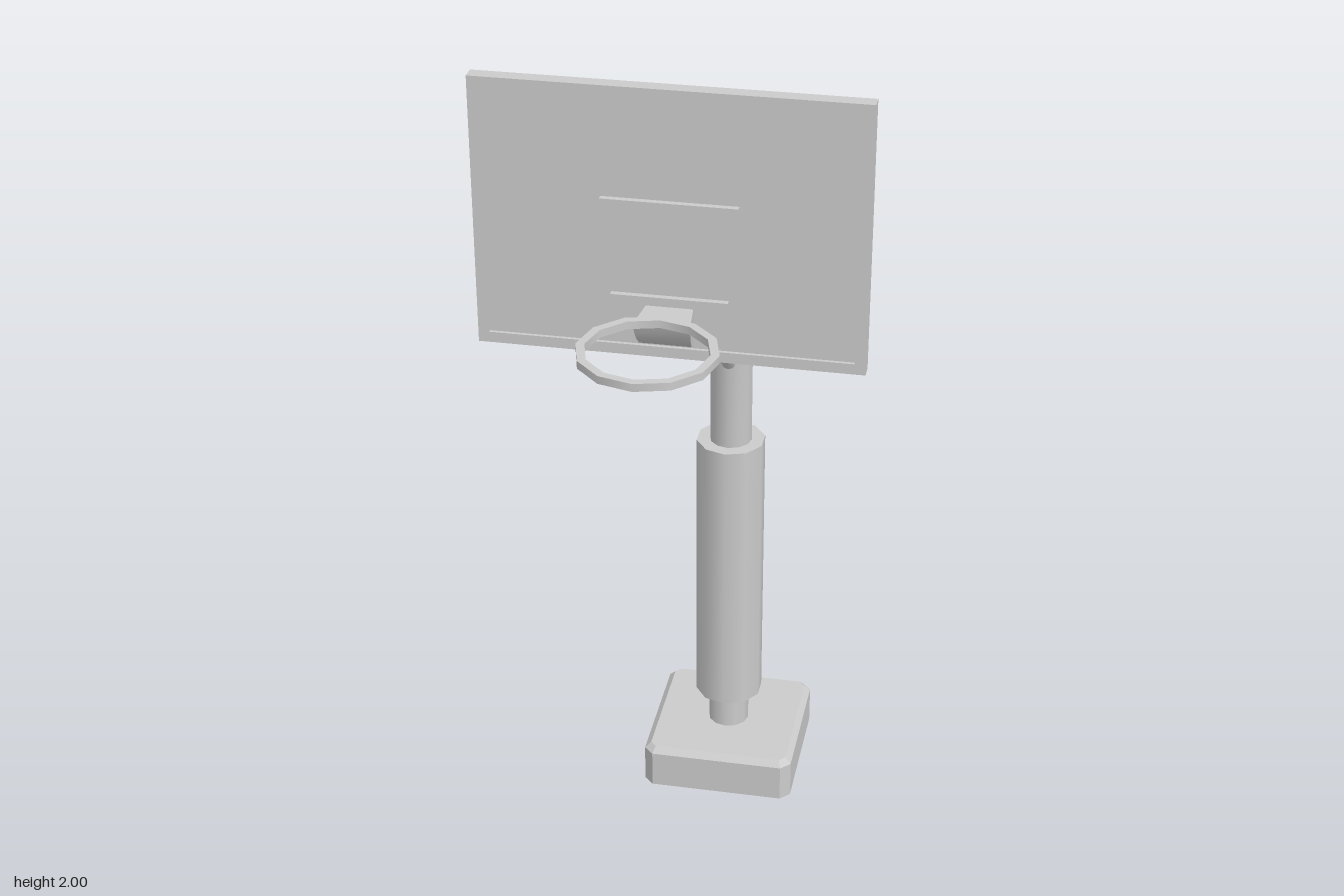
import * as THREE from 'three';
import { toCreasedNormals } from 'three/addons/utils/BufferGeometryUtils.js';

const POST_Z = -0.43;
const ARM_Y = 1.698;

export function createModel() {
  const model = new THREE.Group();
  const grey = new THREE.MeshStandardMaterial({ color: 0xcccccc });

  const add = (name, geometry, x = 0, y = 0, z = 0) => {
    const mesh = new THREE.Mesh(geometry, grey);
    mesh.name = name;
    mesh.position.set(x, y, z);
    model.add(mesh);
    return mesh;
  };

  const rectPoints = (w, h) => [[-w, -h], [w, -h], [w, h], [-w, h]].map(([x, y]) => new THREE.Vector2(x / 2, y / 2));

  // Rectangular ring, centred on x and y, growing towards +z
  const frame = (w, h, band, depth) => {
    const shape = new THREE.Shape(rectPoints(w, h));
    shape.holes.push(new THREE.Path(rectPoints(w - 2 * band, h - 2 * band)));
    return new THREE.ExtrudeGeometry(shape, { depth, bevelEnabled: false });
  };

  // Straight round bar between two [y, z] points in the middle plane
  const bar = (name, a, b, r) => {
    const p = new THREE.Vector3(0, ...a);
    const q = new THREE.Vector3(0, ...b);
    const dir = q.clone().sub(p);
    const mesh = add(name, new THREE.CylinderGeometry(r, r, dir.length(), 10), ...p.clone().add(q).multiplyScalar(0.5));
    mesh.quaternion.setFromUnitVectors(new THREE.Vector3(0, 1, 0), dir.normalize());
  };

  // Base block: cut corners, bevelled top edge and flat bottom
  const h = 0.177, c = 0.022;
  const corners = [[-h, c - h], [c - h, -h], [h - c, -h], [h, c - h], [h, h - c], [h - c, h], [c - h, h], [-h, h - c]];
  const base = new THREE.ExtrudeGeometry(new THREE.Shape(corners.map((p) => new THREE.Vector2(...p))), {
    depth: 0.09, bevelThickness: 0.014, bevelSize: 0.014, bevelOffset: -0.014, bevelSegments: 1,
  });
  const bp = base.attributes.position;
  for (let i = 0; i < bp.count; i++) bp.setZ(i, Math.max(0, bp.getZ(i)));
  base.rotateX(-Math.PI / 2);
  base.computeVertexNormals();
  add('base', base, 0, 0, -0.434);

  // Bent post: each ring of a cylinder is moved to a station [y, z, tilt]
  const bend = 0.2;
  const stations = [[0.09, POST_Z, 0]];
  for (let i = 0; i <= 3; i++) {
    const t = (i / 3) * Math.PI / 2;
    stations.push([ARM_Y - bend + bend * Math.sin(t), POST_Z + bend - bend * Math.cos(t), t]);
  }
  stations.push([ARM_Y, 0.237, Math.PI / 2]);
  const post = new THREE.CylinderGeometry(0.048, 0.048, stations.length - 1, 12, stations.length - 1, true);
  const pp = post.attributes.position;
  for (let i = 0; i < pp.count; i++) {
    const [y, z, t] = stations[Math.round(pp.getY(i) + (stations.length - 1) / 2)];
    const d = pp.getZ(i);
    pp.setXYZ(i, pp.getX(i), y - d * Math.sin(t), z + d * Math.cos(t));
  }
  add('post', toCreasedNormals(post, 0.7));

  // Padding sleeve round the lower post
  add('postPadding', new THREE.CylinderGeometry(0.079, 0.079, 0.69, 10), 0, 0.537, POST_Z);

  // Struts under the arm
  bar('longStrut', [1.675, 0.125], [1.08, -0.41], 0.018);
  bar('shortStrut', [1.44, -0.105], [1.655, -0.295], 0.018);

  // Backboard with raised rim, target square and rear mounting frame
  add('backboard', new THREE.BoxGeometry(0.756, 0.546, 0.023), 0, 1.726, 0.2465);
  add('backboardRim', frame(0.76, 0.55, 0.022, 0.03), 0, 1.726, 0.235);
  add('targetSquare', frame(0.265, 0.215, 0.018, 0.012), 0, 1.67, 0.258);
  add('mountingFrame', frame(0.265, 0.215, 0.02, 0.016), 0, 1.67, 0.209);

  // Hoop bracket: flat top and curved underside, widening to the hoop
  const side = new THREE.Shape();
  side.moveTo(0.255, 1.56);
  side.lineTo(0.255, 1.485);
  side.lineTo(0.27, 1.487);
  side.quadraticCurveTo(0.325, 1.495, 0.345, 1.56);
  const bracket = new THREE.ExtrudeGeometry(side, { depth: 0.09, bevelEnabled: false, curveSegments: 5 });
  bracket.translate(0, 0, -0.045);
  bracket.rotateY(-Math.PI / 2);
  const kp = bracket.attributes.position;
  for (let i = 0; i < kp.count; i++) kp.setX(i, kp.getX(i) * (1 + (kp.getZ(i) - 0.255) * 2.5));
  add('hoopBracket', toCreasedNormals(bracket, 0.6));

  // Twelve-sided hoop of flat section
  const section = [[0.118, -0.008], [0.135, -0.008], [0.135, 0.008], [0.118, 0.008], [0.118, -0.008]];
  const hoop = new THREE.LatheGeometry(section.map((p) => new THREE.Vector2(...p)), 12);
  add('hoop', toCreasedNormals(hoop, 0.7), 0, 1.569, 0.472);

  return model;
}
